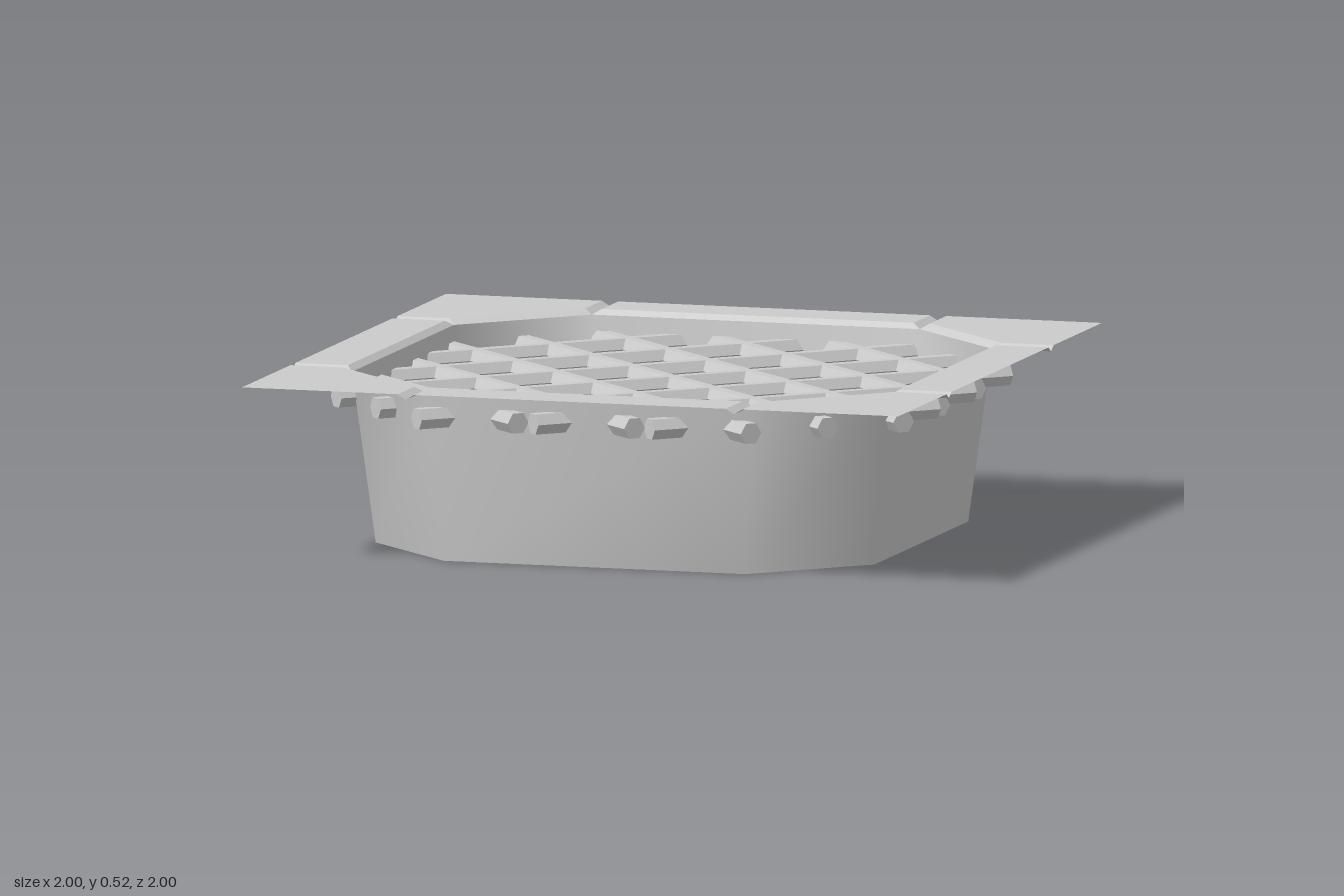
import * as THREE from 'three';

const mat = new THREE.MeshStandardMaterial({ color: 0xcccccc, side: THREE.DoubleSide });
const RIM = 0.52, LIP = 0.505;

// Irregular octagon corners as [x, z], running from the front face round to the right
const octagon = (near, far) => [
  [near, far], [far, near], [far, -near], [near, -far],
  [-near, -far], [-far, -near], [-far, near], [-near, far],
];

// Flat-shaded upward-facing polygons, each a list of [x, y, z] corners
function sheet(polygons) {
  const pos = [];
  for (const p of polygons) {
    let area = 0;
    p.forEach((a, i) => {
      const b = p[(i + 1) % p.length];
      area += a[2] * b[0] - a[0] * b[2];
    });
    const c = area > 0 ? p : [...p].reverse();
    for (let i = 1; i < c.length - 1; i++) pos.push(...c[0], ...c[i], ...c[i + 1]);
  }
  const g = new THREE.BufferGeometry();
  g.setAttribute('position', new THREE.Float32BufferAttribute(pos, 3));
  g.computeVertexNormals();
  return g;
}

// Tapering wall with normals blended round the corners
function wallGeometry(bottom, top) {
  const pos = [], index = [], n = bottom.length;
  for (let i = 0; i < n; i++) {
    pos.push(bottom[i][0], 0, bottom[i][1], top[i][0], LIP, top[i][1]);
    const a = 2 * i, b = 2 * ((i + 1) % n);
    index.push(a, b, b + 1, a, b + 1, a + 1);
  }
  const g = new THREE.BufferGeometry();
  g.setAttribute('position', new THREE.Float32BufferAttribute(pos, 3));
  g.setIndex(index);
  g.computeVertexNormals();
  return g;
}

export function createModel() {
  const model = new THREE.Group();
  const add = (geo, name, parent = model) => {
    const mesh = new THREE.Mesh(geo, mat);
    mesh.name = name;
    parent.add(mesh);
    return mesh;
  };

  // Pit: wall and floor
  const bottom = octagon(0.46, 0.76);
  add(wallGeometry(bottom, octagon(0.5, 0.82)), 'pitWall');
  add(sheet([bottom.map(([x, z]) => [x, 0, z])]), 'pitFloor');

  // One quarter of the rim: side plate, corner plate, V grooves and sloped lip
  const s = 0.475, c = 0.525, e = 0.84;
  const plates = sheet([
    [[-s, RIM, 1], [s, RIM, 1], [s, RIM, e], [-s, RIM, e]],
    [[c, RIM, 1], [1, RIM, 1], [1, RIM, c], [e, RIM, c], [c, RIM, e]],
  ]);
  const groove = (k) => [
    [[k * s, RIM, 1], [k * 0.5, LIP, 1], [k * 0.5, LIP, 0.82], [k * s, RIM, e]],
    [[k * 0.5, LIP, 1], [k * c, RIM, 1], [k * c, RIM, e], [k * 0.5, LIP, 0.82]],
  ];
  const grooves = sheet([...groove(1), ...groove(-1)]);
  const lip = sheet([
    [[-s, RIM, e], [s, RIM, e], [0.5, LIP, 0.82], [-0.5, LIP, 0.82]],
    [[c, RIM, e], [e, RIM, c], [0.82, LIP, 0.5], [0.5, LIP, 0.82]],
  ]);
  for (let q = 0; q < 4; q++) {
    const quarter = new THREE.Group();
    quarter.name = 'rimQuarter';
    quarter.rotation.y = q * Math.PI / 2;
    add(plates, 'rimPlates', quarter);
    add(grooves, 'rimGrooves', quarter);
    add(lip, 'rimLip', quarter);
    model.add(quarter);
  }

  // Grating: two crossing sets of hexagonal bars whose ends pierce the wall
  const step = 0.355, reach = 0.865;
  for (const dir of [1, -1]) {
    const set = new THREE.Group();
    set.name = dir > 0 ? 'barsOneWay' : 'barsOtherWay';
    set.position.y = 0.43;
    set.rotation.y = dir * Math.PI / 4;
    for (let k = -3; k <= 3; k++) {
      const length = k === 0 ? 1.95 : (2 * reach - Math.abs(k) * step) * Math.SQRT2;
      const geo = new THREE.CylinderGeometry(0.034, 0.034, length, 6).toNonIndexed();
      geo.rotateZ(Math.PI / 2); // lies along x with a flat side on top
      geo.computeVertexNormals();
      add(geo, 'gratingBar', set).position.z = k * step / Math.SQRT2;
    }
    model.add(set);
  }
  return model;
}
